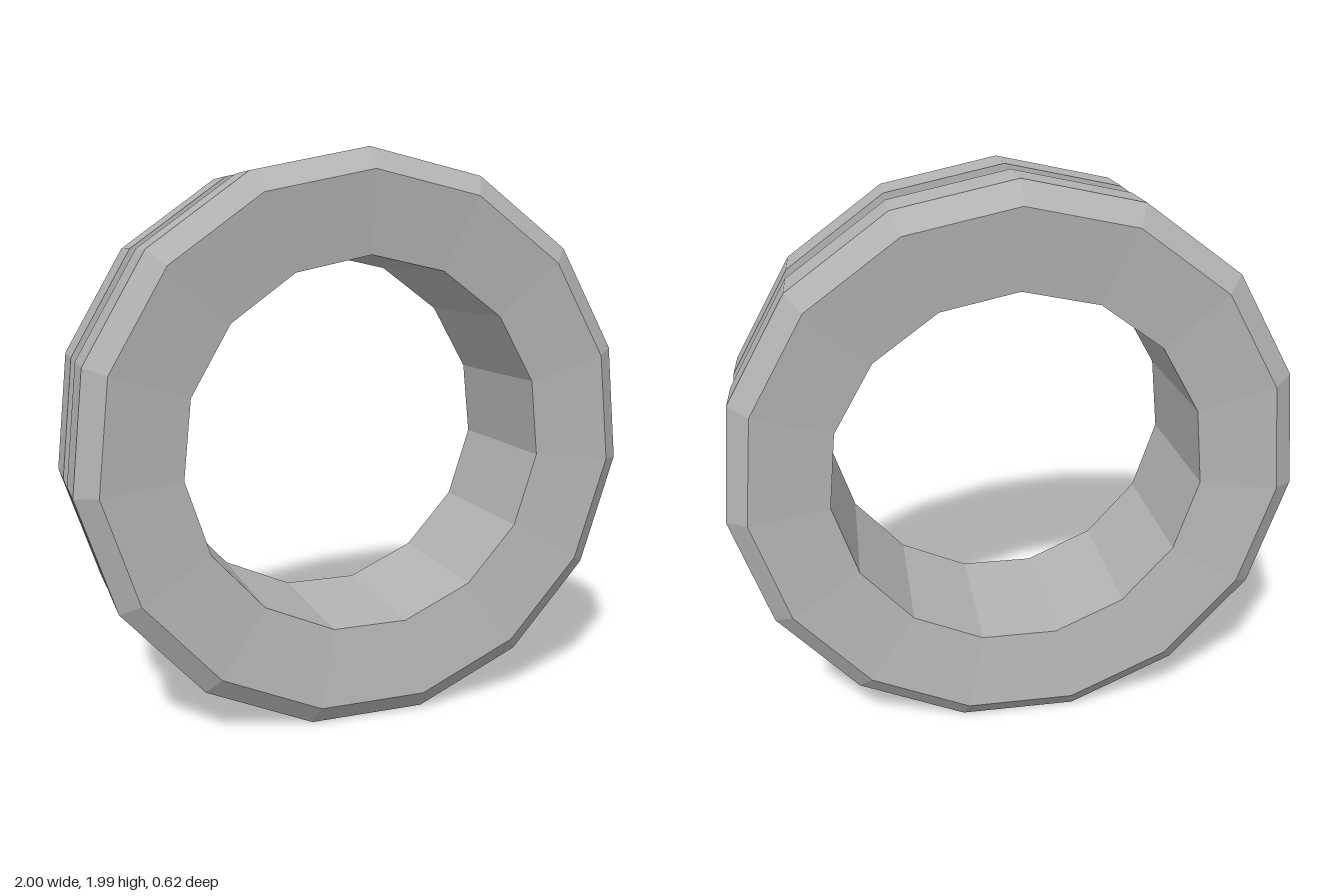
import * as THREE from 'three';

const SIDES = 15;
const OUTER = 1.0055;

export function createModel() {
  const group = new THREE.Group();
  group.name = 'tire';

  const rubber = new THREE.MeshStandardMaterial({ color: 0xb4b4b4, flatShading: true });
  rubber.name = 'grey rubber';

  // A closed run of [radius, z] points turned about the z axis, one corner on top
  const ring = (name, profile) => {
    const points = profile.map(([r, z]) => new THREE.Vector2(r, z));
    const geometry = new THREE.LatheGeometry(points, SIDES, Math.PI, Math.PI * 2);
    geometry.rotateX(Math.PI / 2);
    const mesh = new THREE.Mesh(geometry, rubber);
    mesh.name = name;
    mesh.position.y = OUTER * Math.cos(Math.PI / SIDES);
    group.add(mesh);
  };

  // Back half of the section: dished sidewall, bevelled shoulder, tread, groove wall
  const half = [[0.653, 0.275], [0.93, 0.31], [OUTER, 0.25], [OUTER, 0.063], [0.965, 0.063]];
  const back = half.map(([r, z]) => [r, -z]);
  const front = [...half].reverse();
  ring('tread and sidewalls', [...back, ...front]);

  // Inner bore
  ring('bore', [half[0], back[0]]);

  return group;
}
